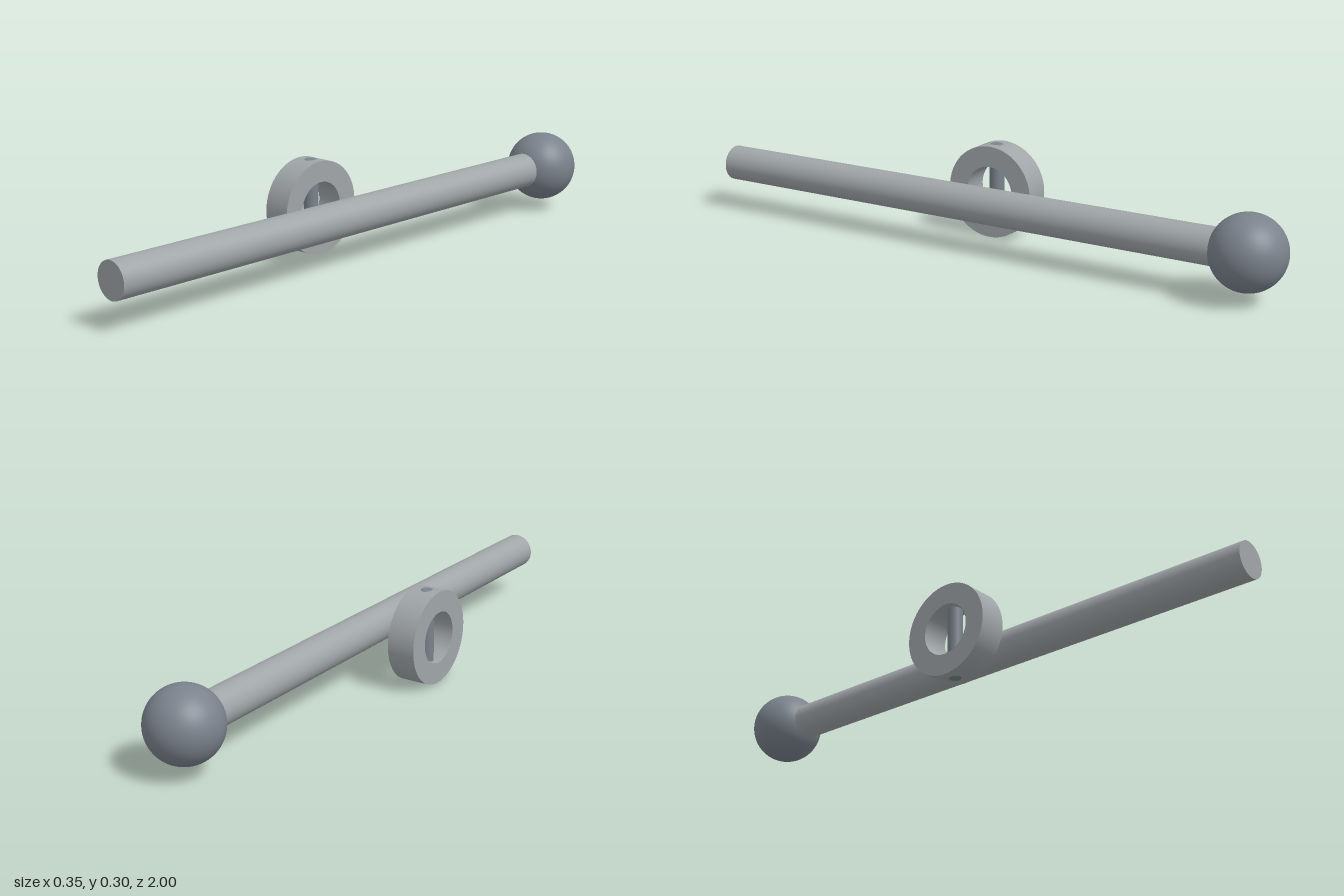
import * as THREE from 'three';

export function createModel() {
  const group = new THREE.Group();
  const steel = new THREE.MeshStandardMaterial({ name: 'steel', color: 0xa0a5a8 });
  const darkSteel = new THREE.MeshStandardMaterial({ name: 'dark steel', color: 0x7a828c });

  const add = (name, geometry, material, x, y, z) => {
    const mesh = new THREE.Mesh(geometry, material);
    mesh.name = name;
    mesh.position.set(x, y, z);
    group.add(mesh);
    return mesh;
  };

  const axisY = 0.152;
  const rodX = 0.057;

  // Long round handle running front to back, its end buried in the knob
  const rodFront = 1, rodBack = -0.83;
  add('handleRod',
    new THREE.CylinderGeometry(0.0575, 0.0575, rodFront - rodBack, 64).rotateX(Math.PI / 2),
    steel, rodX, axisY, (rodFront + rodBack) / 2);

  // Ball knob at the back end
  add('ballKnob', new THREE.SphereGeometry(0.116, 64, 40), darkSteel, rodX, axisY, -0.884);

  // Collar ring beside the rod: outer wall, bore and two flat faces
  const collarX = -0.129, collarZ = 0.066;
  const outer = 0.15, bore = 0.083, width = 0.092;
  const shape = new THREE.Shape();
  shape.absarc(0, 0, outer, 0, Math.PI * 2, false);
  const hole = new THREE.Path();
  hole.absarc(0, 0, bore, 0, Math.PI * 2, true);
  shape.holes.push(hole);
  const collar = new THREE.ExtrudeGeometry(shape, { depth: width, bevelEnabled: false, curveSegments: 64 });
  collar.translate(0, 0, -width / 2).rotateY(Math.PI / 2);
  // Radial normals keep the round walls smooth and the faces crisp
  const p = collar.attributes.position, n = collar.attributes.normal;
  for (let i = 0; i < p.count; i++) {
    if (Math.abs(n.getX(i)) > 0.5) continue;
    const y = p.getY(i), z = p.getZ(i), r = Math.hypot(y, z);
    const sign = r > (outer + bore) / 2 ? 1 : -1;
    n.setXYZ(i, 0, sign * y / r, sign * z / r);
  }
  add('collarRing', collar, steel, collarX, axisY, collarZ);

  // Cross pin through the collar, with small chamfered ends
  const pinR = 0.024, half = outer + 0.001;
  const chamfer = 0.004;
  add('crossPin', new THREE.CylinderGeometry(pinR, pinR, 2 * (half - chamfer), 32, 1, true),
    darkSteel, collarX, axisY, collarZ);
  for (const side of [1, -1]) {
    const end = new THREE.CylinderGeometry(pinR - 0.008, pinR, chamfer, 32);
    if (side < 0) end.rotateX(Math.PI);
    add(side > 0 ? 'pinTopEnd' : 'pinBottomEnd', end, darkSteel,
      collarX, axisY + side * (half - chamfer / 2), collarZ);
  }

  return group;
}
